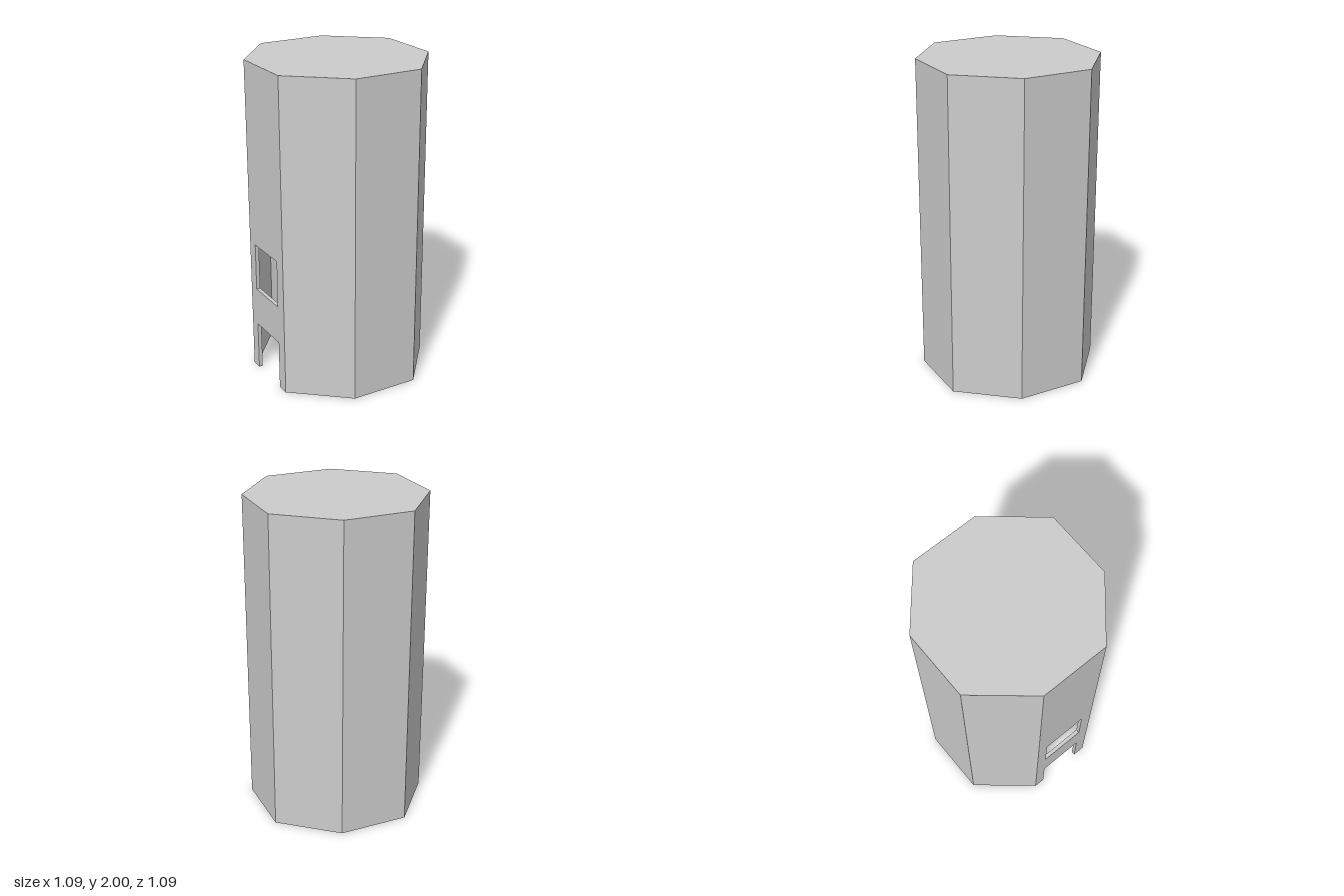
import * as THREE from 'three';

const HEIGHT = 2;
const WALL = 0.024;
const INNER = 0.954; // scale from the outer corners to the inner corners

// Eight plan corners [x, z]: two corners repeated every quarter turn
function planCorners() {
  const corners = [];
  let pair = [[0.483, 0.308], [0.12, 0.54]];
  for (let i = 0; i < 4; i++) {
    corners.push(...pair);
    pair = pair.map(([x, z]) => [-z, x]);
  }
  return corners;
}

// Move every vertex by a rule, add the tower's very slight lean, keep facets flat
function reshape(geometry, rule) {
  const pos = geometry.attributes.position;
  const v = new THREE.Vector3();
  for (let i = 0; i < pos.count; i++) {
    v.fromBufferAttribute(pos, i);
    rule(v);
    v.x -= 0.003 * (v.y - 1);
    v.z -= 0.003 * (v.y - 1);
    pos.setXYZ(i, v.x, v.y, v.z);
  }
  geometry.computeVertexNormals();
  return geometry;
}

// Wall panel drawn with u = 0..1 along the facet, then bent onto corners a and b
function wallPanel(a, b, hasOpenings) {
  const u0 = 0.16, u1 = 0.82;
  const outline = hasOpenings
    ? [[0, 0], [u0, 0], [u0, 0.31], [u1, 0.31], [u1, 0], [1, 0], [1, HEIGHT], [0, HEIGHT]]
    : [[0, 0], [1, 0], [1, HEIGHT], [0, HEIGHT]];
  const shape = new THREE.Shape(outline.map((p) => new THREE.Vector2(...p)));
  if (hasOpenings) {
    const hole = [[u0, 0.555], [u0, 0.855], [u1, 0.855], [u1, 0.555]];
    shape.holes.push(new THREE.Path(hole.map((p) => new THREE.Vector2(...p))));
  }
  const geometry = new THREE.ExtrudeGeometry(shape, { depth: 1, bevelEnabled: false });
  const dx = b[0] - a[0], dz = b[1] - a[1], len = Math.hypot(dx, dz);
  return reshape(geometry, (v) => {
    const u = v.x, inside = v.z < 0.5;
    let x = a[0] + dx * u, z = a[1] + dz * u;
    if (inside && (u < 0.001 || u > 0.999)) { // mitred corner
      x *= INNER;
      z *= INNER;
    } else if (inside) { // square jamb
      x += (dz / len) * WALL;
      z -= (dx / len) * WALL;
    }
    const y = inside && v.y > HEIGHT - 0.001 ? HEIGHT - WALL : v.y;
    v.set(x, y, z);
  });
}

// Flat roof, its underside mitred to the walls
function roofSlab(corners) {
  const shape = new THREE.Shape(corners.map(([x, z]) => new THREE.Vector2(x, -z)));
  const geometry = new THREE.ExtrudeGeometry(shape, { depth: WALL, bevelEnabled: false });
  geometry.rotateX(-Math.PI / 2);
  return reshape(geometry, (v) => {
    const s = v.y < WALL / 2 ? INNER : 1;
    v.set(v.x * s, v.y + HEIGHT - WALL, v.z * s);
  });
}

export function createModel() {
  const group = new THREE.Group();
  group.name = 'octagonalTower';
  const material = new THREE.MeshStandardMaterial({ color: 0xcccccc, flatShading: true });
  const add = (name, geometry) => {
    const mesh = new THREE.Mesh(geometry, material);
    mesh.name = name;
    group.add(mesh);
  };

  const corners = planCorners();
  corners.forEach((right, i) => {
    const left = corners[(i + 1) % corners.length];
    const hasOpenings = i === 2; // facet with the doorway and window
    add(hasOpenings ? 'doorAndWindowWall' : `wall${i + 1}`, wallPanel(left, right, hasOpenings));
  });
  add('roof', roofSlab(corners));
  return group;
}
